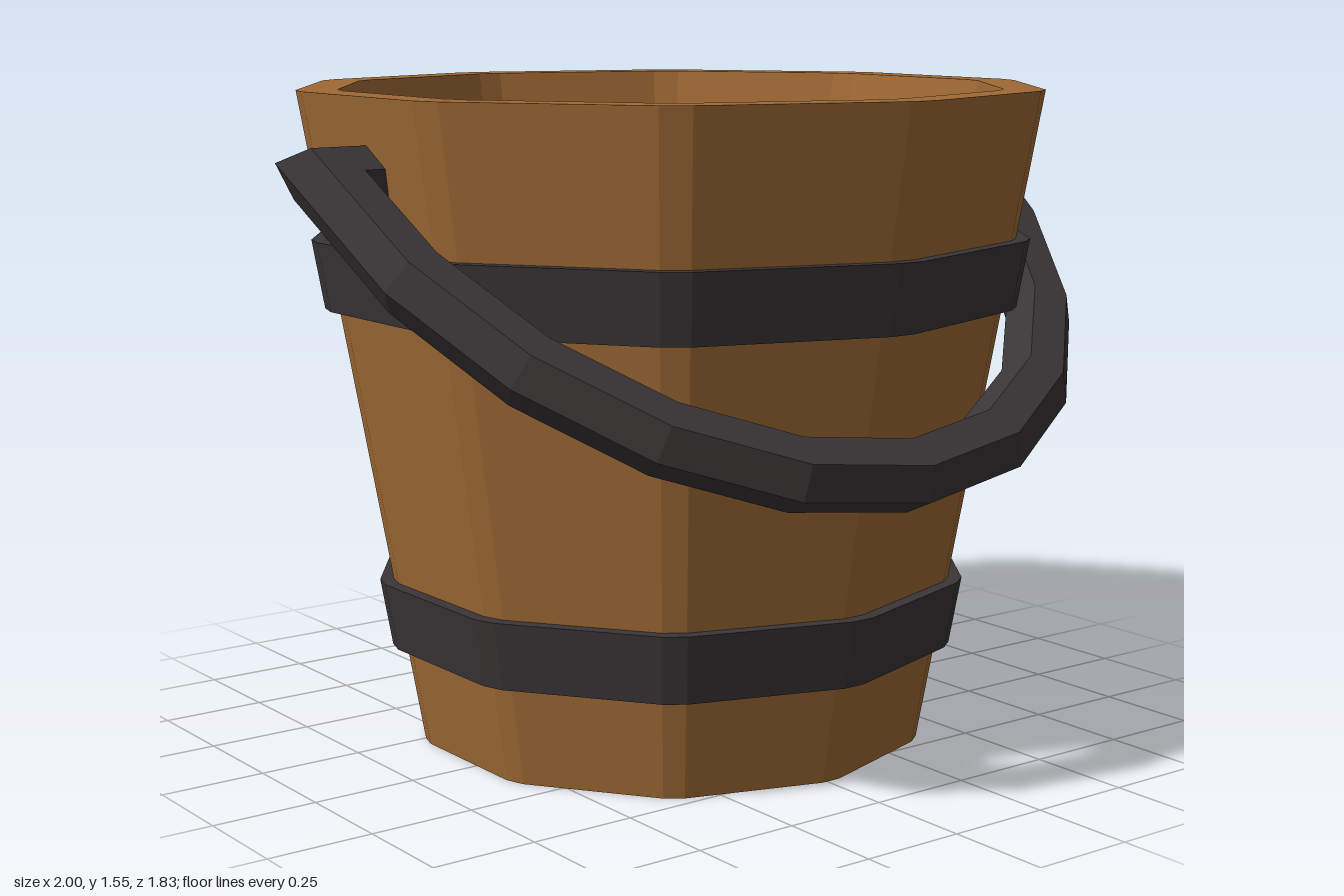
import * as THREE from 'three';

const wood = new THREE.MeshStandardMaterial({ color: 0xa06a35, flatShading: true });
wood.name = 'wood';
const iron = new THREE.MeshStandardMaterial({ color: 0x3a3536, flatShading: true });
iron.name = 'dark iron';

// Skin a list of closed rings, skipping triangles that collapse to a point
function loft(rings) {
  const pos = [];
  const tri = (a, b, c) => {
    if (a.distanceTo(b) < 1e-6 || b.distanceTo(c) < 1e-6 || c.distanceTo(a) < 1e-6) return;
    for (const p of [a, b, c]) pos.push(p.x, p.y, p.z);
  };
  for (let i = 0; i < rings.length - 1; i++) {
    const lo = rings[i], hi = rings[i + 1], n = lo.length;
    for (let j = 0; j < n; j++) {
      const k = (j + 1) % n;
      tri(lo[j], lo[k], hi[k]);
      tri(lo[j], hi[k], hi[j]);
    }
  }
  const geo = new THREE.BufferGeometry();
  geo.setAttribute('position', new THREE.Float32BufferAttribute(pos, 3));
  geo.computeVertexNormals();
  return geo;
}

// Ten-sided ring whose corners are cut by a narrow bevel
function staveRing([radius, y]) {
  const pts = [];
  for (let k = 0; k < 10; k++) {
    for (const side of [-1, 1]) {
      const a = (k * Math.PI) / 5 + side * 0.0396;
      const r = radius * 0.988;
      pts.push(new THREE.Vector3(r * Math.sin(a), y, r * Math.cos(a)));
    }
  }
  return pts;
}

function addMesh(parent, name, geo, mat) {
  const mesh = new THREE.Mesh(geo, mat);
  mesh.name = name;
  parent.add(mesh);
  return mesh;
}

// Outer radius of the tapered body at a height
const bodyRadius = (y) => 0.62 + 0.1768 * y;

// Hoop that follows the taper of the body
function hoop(y0, y1) {
  const ring = (y, out) => staveRing([bodyRadius(y) + out, y]);
  return loft([ring(y0, -0.01), ring(y0, 0.033), ring(y1, 0.033), ring(y1, -0.01), ring(y0, -0.01)]);
}

// Hexagonal bar swept along a half ellipse with mitred joints and inward pins
function handleGeometry() {
  const a = 0.908, depth = 1.057, r = 0.082;
  const path = [new THREE.Vector2(-0.78, 0)];
  for (let i = 0; i <= 10; i++) {
    const t = (i * Math.PI) / 10;
    path.push(new THREE.Vector2(-a * Math.cos(t), depth * Math.sin(t)));
  }
  path.push(new THREE.Vector2(0.78, 0));

  const normals = path.slice(1).map((p, i) => {
    const t = p.clone().sub(path[i]).normalize();
    return new THREE.Vector2(-t.y, t.x);
  });
  const rings = path.map((p, i) => {
    const n0 = normals[Math.max(i - 1, 0)];
    const n1 = normals[Math.min(i, normals.length - 1)];
    const mitre = n0.clone().add(n1).divideScalar(1 + n0.dot(n1));
    return Array.from({ length: 6 }, (_, j) => {
      const u = r * Math.cos((j * Math.PI) / 3), v = r * Math.sin((j * Math.PI) / 3);
      return new THREE.Vector3(p.x + mitre.x * u, p.y + mitre.y * u, v);
    });
  });
  return loft(rings);
}

export function createModel() {
  const model = new THREE.Group();
  model.name = 'bucket';

  // Wooden body with hollow inside, and its hoops
  const body = new THREE.Group();
  body.name = 'body';
  body.position.set(0.012, 0, -0.039);
  model.add(body);
  const profile = [[0, 0], [0.62, 0], [0.894, 1.55], [0.798, 1.55], [0.515, 0.06], [0, 0.06]];
  addMesh(body, 'woodenTub', loft(profile.map(staveRing)), wood);
  addMesh(body, 'lowerHoop', hoop(0.24, 0.4), iron);
  addMesh(body, 'upperHoop', hoop(1.05, 1.21), iron);

  // Handle resting down toward the front
  const handle = addMesh(model, 'handle', handleGeometry(), iron);
  handle.position.set(0, 1.362, -0.033);
  handle.rotation.x = Math.atan2(0.818, -0.575);

  return model;
}
